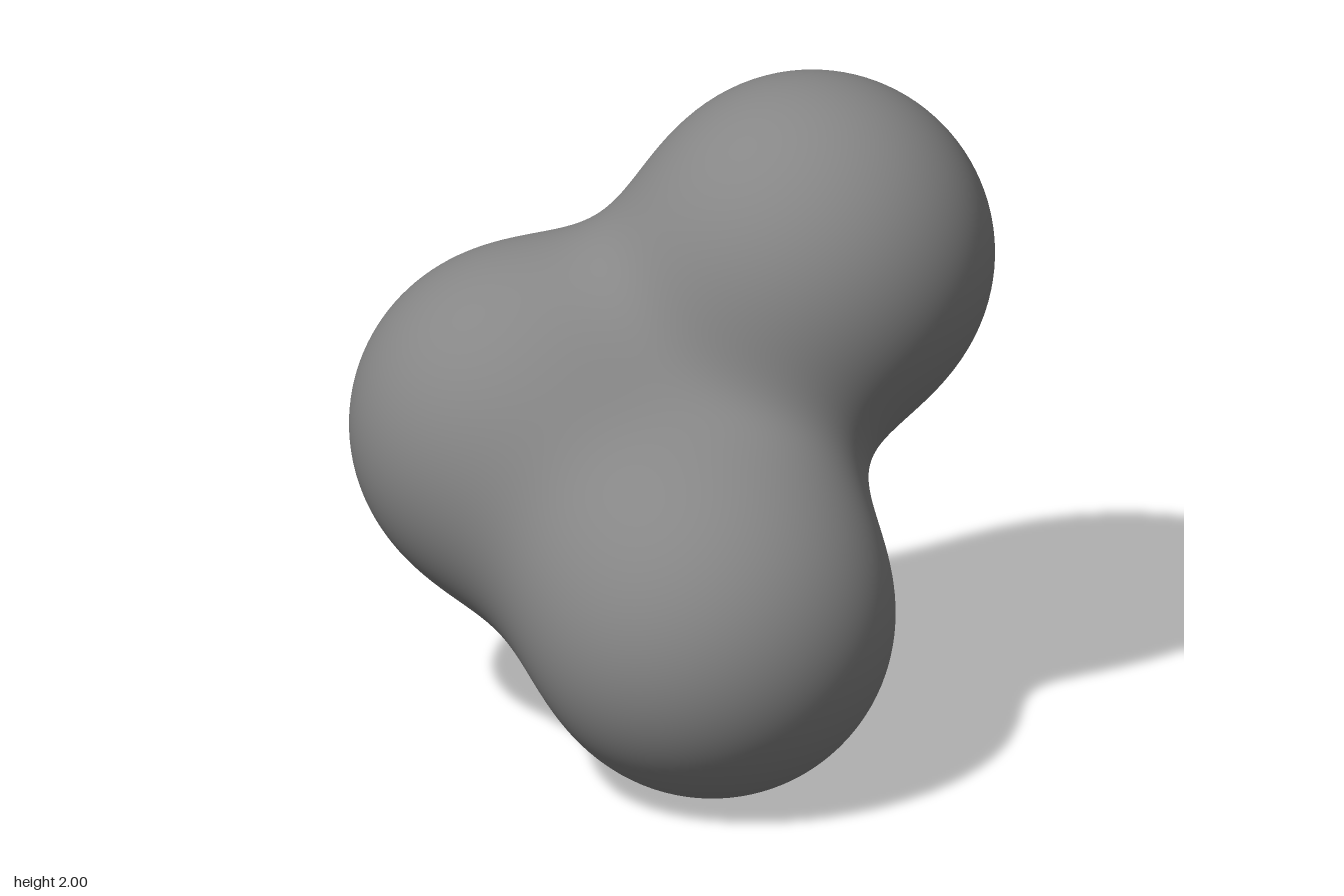
import * as THREE from 'three';
import { mergeVertices } from 'three/addons/utils/BufferGeometryUtils.js';

// Three equal balls that melt into one another
const balls = [
  new THREE.Vector3(0.405, 1.463, -0.288),
  new THREE.Vector3(-0.412, 0.94, -0.178),
  new THREE.Vector3(0.157, 0.537, 0.293),
];
const BALL = 0.537; // visible radius of a lone ball
const FALLOFF = 5.3; // lower values give fuller necks
const LEVEL = Math.exp(-FALLOFF * BALL ** 2);

const strength = (p, c) => Math.exp(-FALLOFF * p.distanceToSquared(c));

// Blend field: positive inside the surface
const field = (p) => balls.reduce((sum, c) => sum + strength(p, c), -LEVEL);

// Outward normal from the slope of the field
function slope(p) {
  const n = new THREE.Vector3();
  for (const c of balls) n.addScaledVector(p.clone().sub(c), strength(p, c));
  return n.normalize();
}

function blobGeometry() {
  const base = new THREE.IcosahedronGeometry(1, 40);
  base.deleteAttribute('uv');
  base.deleteAttribute('normal');
  const geo = mergeVertices(base, 1e-5);
  const pos = geo.attributes.position;
  const normals = new Float32Array(pos.count * 3);
  const centre = new THREE.Vector3(0.05, 0.98, -0.05);
  const dir = new THREE.Vector3();
  const p = new THREE.Vector3();
  const at = (t) => p.copy(centre).addScaledVector(dir, t);

  for (let i = 0; i < pos.count; i++) {
    dir.fromBufferAttribute(pos, i).normalize();
    // Walk inward to the surface, then refine by halving
    let outer = 1.5;
    while (outer > 0.02 && field(at(outer - 0.02)) < 0) outer -= 0.02;
    let inner = outer - 0.02;
    for (let k = 0; k < 16; k++) {
      const mid = (inner + outer) / 2;
      if (field(at(mid)) > 0) inner = mid;
      else outer = mid;
    }
    at(inner);
    pos.setXYZ(i, p.x, p.y, p.z);
    slope(p).toArray(normals, i * 3);
  }
  geo.setAttribute('normal', new THREE.BufferAttribute(normals, 3));
  return geo;
}

export function createModel() {
  const group = new THREE.Group();
  group.name = 'mergedBalls';
  const blob = new THREE.Mesh(blobGeometry(), new THREE.MeshStandardMaterial({ color: 0x868686 }));
  blob.name = 'blob';
  group.add(blob);
  return group;
}
